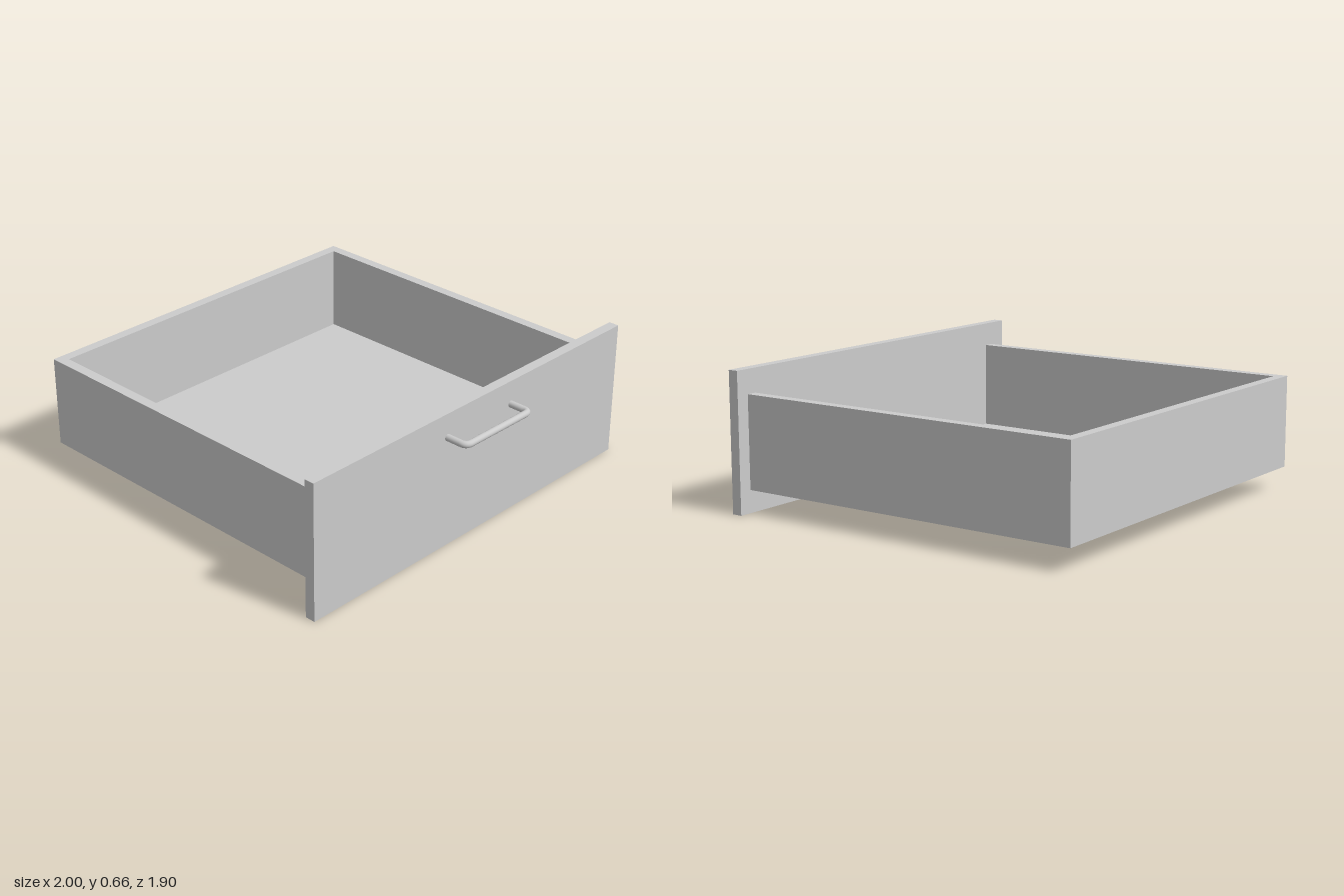
import * as THREE from 'three';

export function createModel() {
  const group = new THREE.Group();
  group.name = 'drawer';
  const material = new THREE.MeshStandardMaterial({ color: 0xcccccc });

  // Box spanning two opposite corners
  function board(name, [x0, y0, z0], [x1, y1, z1]) {
    const mesh = new THREE.Mesh(new THREE.BoxGeometry(x1 - x0, y1 - y0, z1 - z0), material);
    mesh.position.set((x0 + x1) / 2, (y0 + y1) / 2, (z0 + z1) / 2);
    mesh.name = name;
    group.add(mesh);
  }

  const left = 0.936, right = -0.905, back = -0.953, front = 0.78;
  const bottom = 0.107, floorTop = 0.125, top = 0.546, wall = 0.049;

  // Front panel, overhanging the tray on all sides
  board('frontPanel', [-1, 0, front], [1, 0.66, 0.83]);

  // Open tray: walls stand around the thin floor
  board('rightWall', [right, bottom, back], [right + wall, top, front]);
  board('leftWall', [left - wall, bottom, back], [left, top, front]);
  board('backWall', [right + wall, bottom, back], [left - wall, top, back + wall]);
  board('floor', [right + wall, bottom, back + wall], [left - wall, floorTop, front]);

  // Bent bar handle with rounded corners
  const r = 0.016, y = 0.545, xr = -0.194, xl = 0.226, zBar = 0.934, zIn = 0.82, bend = 0.03;
  const v = (x, z) => new THREE.Vector3(x, y, z);
  const path = new THREE.CurvePath();
  path.add(new THREE.LineCurve3(v(xr, zIn), v(xr, zBar - bend)));
  path.add(new THREE.QuadraticBezierCurve3(v(xr, zBar - bend), v(xr, zBar), v(xr + bend, zBar)));
  path.add(new THREE.LineCurve3(v(xr + bend, zBar), v(xl - bend, zBar)));
  path.add(new THREE.QuadraticBezierCurve3(v(xl - bend, zBar), v(xl, zBar), v(xl, zBar - bend)));
  path.add(new THREE.LineCurve3(v(xl, zBar - bend), v(xl, zIn)));
  const handle = new THREE.Mesh(new THREE.TubeGeometry(path, 120, r, 16), material);
  handle.name = 'handle';
  group.add(handle);

  return group;
}
